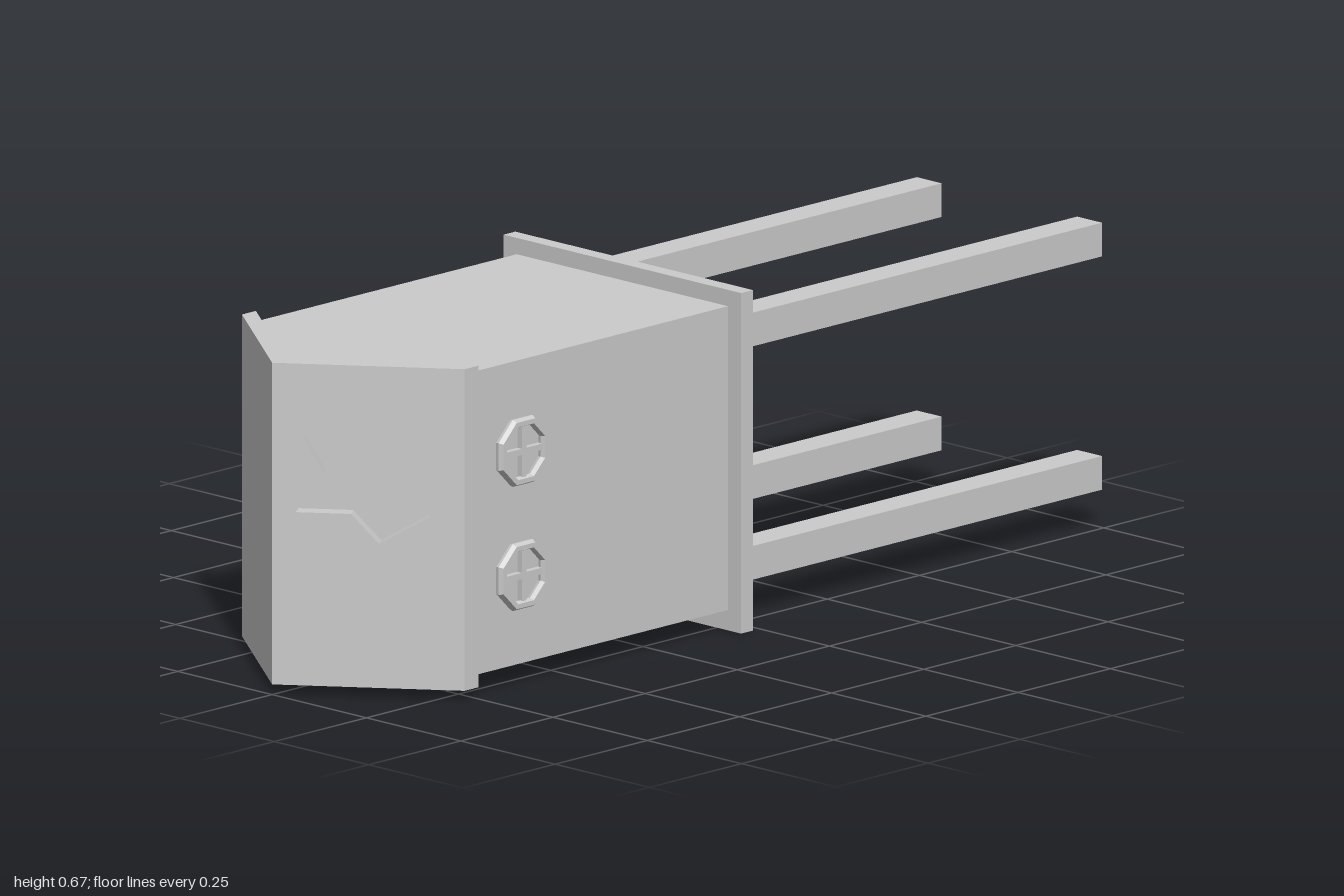
import * as THREE from 'three';

const material = new THREE.MeshStandardMaterial({ color: 0xcccccc, flatShading: true });
const openMaterial = new THREE.MeshStandardMaterial({ color: 0xcccccc, flatShading: true, side: THREE.DoubleSide });

const SLOPE = 0.746;      // fall of the gable per unit of x
const THICK = 0.038;      // roof thickness along z
const ROOF_X = 0.295;

function add(parent, name, geometry, mat = material) {
  const mesh = new THREE.Mesh(geometry, mat);
  mesh.name = name;
  parent.add(mesh);
  return mesh;
}

function box(parent, name, x0, x1, y0, y1, z0, z1) {
  const mesh = add(parent, name, new THREE.BoxGeometry(x1 - x0, y1 - y0, z1 - z0));
  mesh.position.set((x0 + x1) / 2, (y0 + y1) / 2, (z0 + z1) / 2);
  return mesh;
}

const points = (list) => list.map(([x, y]) => new THREE.Vector2(x, y));

// Sloped panel: a flat extrusion bent to the gable, hole walls square to the slope
function roofPanel(side, hole) {
  const shape = new THREE.Shape(points([[0, 0.02], [side * ROOF_X, 0.02], [side * ROOF_X, 0.65], [0, 0.65]]));
  if (hole) shape.holes.push(new THREE.Path(points(hole)));
  const geometry = new THREE.ExtrudeGeometry(shape, { depth: THICK, bevelEnabled: false });
  const p = geometry.attributes.position;
  for (let i = 0; i < p.count; i++) {
    const depth = THICK - p.getZ(i);
    let x = p.getX(i);
    const inner = Math.abs(x) > 0.001 && Math.abs(x) < ROOF_X - 0.001;
    if (inner) x -= side * depth * SLOPE / (1 + SLOPE * SLOPE);
    p.setXYZ(i, x, p.getY(i), 1 - SLOPE * Math.abs(x) - depth);
  }
  geometry.computeVertexNormals();
  return geometry;
}

// Octagonal ring with a cross of bars, facing +y
function porthole(name) {
  const group = new THREE.Group();
  group.name = name;
  const profile = points([[0.055, 0], [0.069, 0], [0.071, 0.008], [0.066, 0.017], [0.056, 0.017], [0.052, 0.008], [0.055, 0]]);
  const ring = add(group, 'portholeRing', new THREE.LatheGeometry(profile, 8, Math.PI / 8), openMaterial);
  ring.position.y = 0;
  box(group, 'crossBar', -0.055, 0.055, 0, 0.012, -0.006, 0.006);
  box(group, 'crossBar', -0.006, 0.006, 0, 0.012, -0.055, 0.055);
  return group;
}

function roundedRect(target, x0, x1, y0, y1, r) {
  target.moveTo(x0 + r, y0);
  target.lineTo(x1 - r, y0).quadraticCurveTo(x1, y0, x1, y0 + r);
  target.lineTo(x1, y1 - r).quadraticCurveTo(x1, y1, x1 - r, y1);
  target.lineTo(x0 + r, y1).quadraticCurveTo(x0, y1, x0, y1 - r);
  target.lineTo(x0, y0 + r).quadraticCurveTo(x0, y0, x0 + r, y0);
  return target;
}

export function createModel() {
  const model = new THREE.Group();
  model.name = 'gabledHouseOnPosts';

  // Five-sided house body
  const eave = 1 - THICK - SLOPE * 0.28;
  const bodyShape = new THREE.Shape(points([[-0.28, 0.04], [0.28, 0.04], [0.28, eave], [0, 1 - THICK], [-0.28, eave]]));
  const body = new THREE.ExtrudeGeometry(bodyShape, { depth: 0.595, bevelEnabled: false });
  body.rotateX(Math.PI / 2).translate(0, 0.635, 0);
  add(model, 'houseBody', body);

  // Floor plate
  box(model, 'floorPlate', -0.315, 0.315, 0, 0.667, 0.018, 0.05);

  // Roof, with a crooked star cut through one side
  const star = [[0.166, 0.584], [0.229, 0.518], [0.207, 0.436], [0.243, 0.359], [0.164, 0.302],
    [0.121, 0.359], [0.036, 0.359], [0.079, 0.436], [0.048, 0.505], [0.121, 0.527]];
  add(model, 'roofLeft', roofPanel(1, star));
  add(model, 'roofRight', roofPanel(-1));

  // Hollow square posts
  for (const x of [-0.2125, 0.2125]) {
    for (const y of [0.107, 0.564]) {
      const r = 0.033 * Math.SQRT2;
      const post = new THREE.CylinderGeometry(r, r, 1.02, 4, 1, true);
      post.rotateY(Math.PI / 4).rotateX(Math.PI / 2);
      add(model, 'post', post, openMaterial).position.set(x, y, -0.49);
    }
  }

  // Round windows: two on each side wall, one on the front wall
  for (const side of [-1, 1]) {
    for (const y of [0.215, 0.458]) {
      const window = porthole('sideWindow');
      window.rotation.z = -side * Math.PI / 2;
      window.position.set(side * 0.28, y, 0.615);
      model.add(window);
    }
  }
  const doorWindow = porthole('windowAboveDoor');
  doorWindow.rotation.x = Math.PI;
  doorWindow.position.set(0, 0.04, 0.725);
  model.add(doorWindow);

  // Door frame and knob below the window
  const frameShape = roundedRect(new THREE.Shape(), -0.06, 0.09, 0.045, 0.3, 0.02);
  frameShape.holes.push(roundedRect(new THREE.Path(), -0.047, 0.077, 0.058, 0.287, 0.012));
  const frame = new THREE.ExtrudeGeometry(frameShape, { depth: 0.018, bevelEnabled: false, curveSegments: 3 });
  frame.rotateX(Math.PI / 2).translate(0, 0.04, 0);
  add(model, 'doorFrame', frame);
  add(model, 'doorKnob', new THREE.SphereGeometry(0.01, 8, 6)).position.set(0.06, 0.034, 0.15);

  return model;
}
